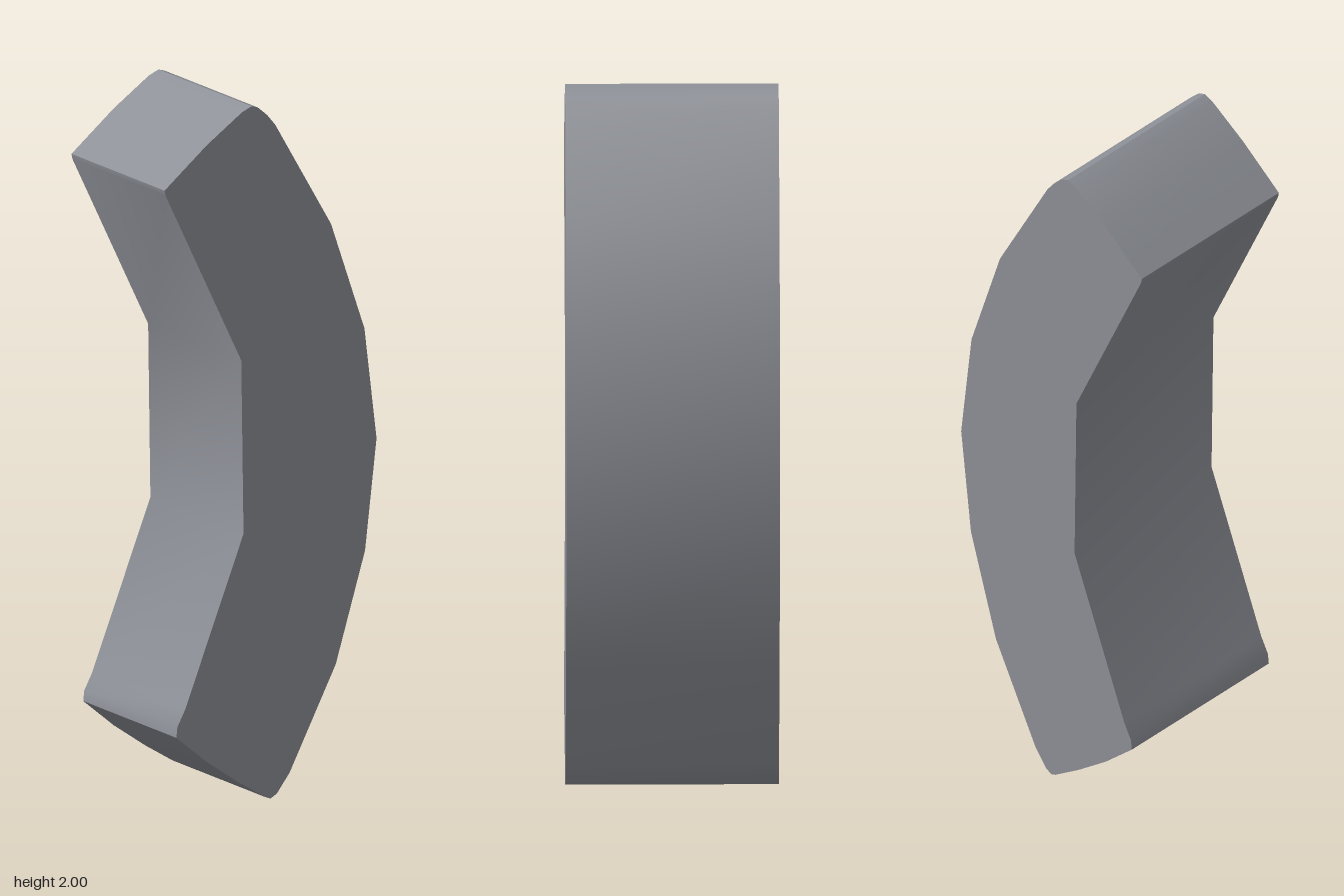
import * as THREE from 'three';
import { toCreasedNormals } from 'three/addons/utils/BufferGeometryUtils.js';

export function createModel() {
  const group = new THREE.Group();
  group.name = 'curvedBlock';

  const stone = new THREE.MeshStandardMaterial({ color: 0x8d9097 });
  stone.name = 'grey';

  // Side profile, counter-clockwise from the lowest corner
  const profile = [
    // bulging outer side
    [0, 0], [0.02, 0.013], [0.06, 0.07], [0.205, 0.37], [0.297, 0.69], [0.333, 1.01],
    [0.295, 1.33], [0.19, 1.64], [0.015, 1.94], [-0.01, 1.97], [-0.04, 1.995], [-0.06, 2],
    // upper end
    [-0.09, 1.985], [-0.2, 1.9], [-0.3, 1.81], [-0.333, 1.78], [-0.33, 1.765],
    // hollow inner side
    [-0.092, 1.27], [-0.085, 0.77], [-0.268, 0.28], [-0.293, 0.23], [-0.296, 0.2],
    // lower end
    [-0.2, 0.122], [-0.1, 0.055], [-0.015, 0.005],
  ].map(([x, y]) => new THREE.Vector2(x, y));

  const depth = 0.604;
  const geometry = new THREE.ExtrudeGeometry(new THREE.Shape(profile), { depth, bevelEnabled: false });
  geometry.translate(0, 0, -depth / 2);

  // Smooth along the curve, sharp at the flat faces and end corners
  const block = new THREE.Mesh(toCreasedNormals(geometry, 0.7), stone);
  block.name = 'block';
  group.add(block);
  return group;
}
